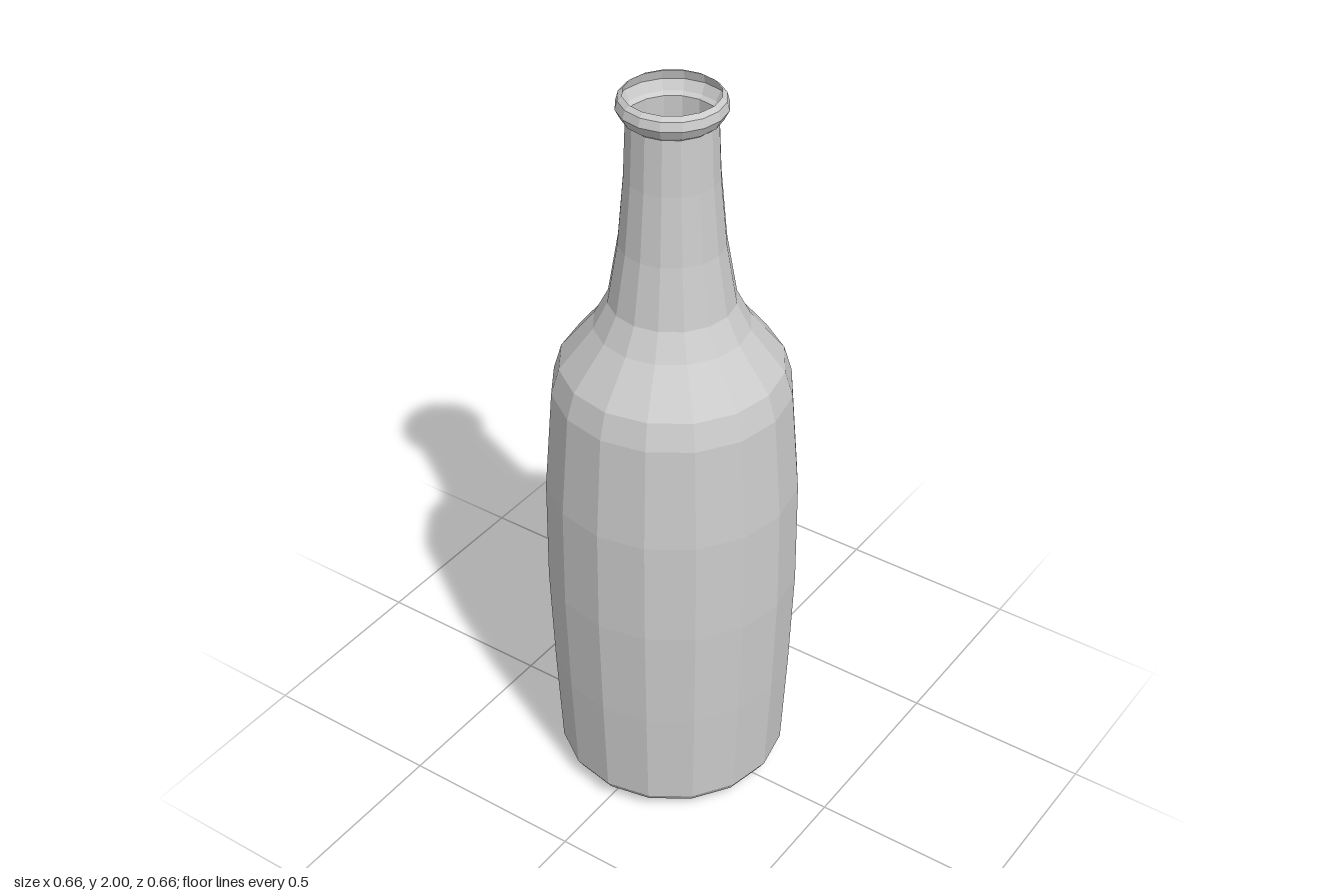
import * as THREE from 'three';

const SIDES = 16;

export function createModel() {
  const model = new THREE.Group();
  model.name = 'bottle';
  const material = new THREE.MeshStandardMaterial({
    color: 0xcccccc, flatShading: true, side: THREE.DoubleSide,
  });

  // Each part is a low-poly ring of facets turned from [radius, height] pairs
  const turn = (name, profile) => {
    const points = profile.map(([r, y]) => new THREE.Vector2(r, y));
    const mesh = new THREE.Mesh(new THREE.LatheGeometry(points, SIDES), material);
    mesh.name = name;
    model.add(mesh);
  };

  // Flat floor, closed at the centre, with a bevelled lower edge
  turn('base', [[0, 0], [0.24, 0], [0.29, 0.033], [0.304, 0.055]]);

  // Slightly bulging body
  turn('body', [[0.304, 0.055], [0.318, 0.34], [0.328, 0.63], [0.326, 0.92], [0.304, 1.2]]);

  // Sloping shoulder
  turn('shoulder', [[0.304, 1.2], [0.283, 1.27], [0.196, 1.38], [0.16, 1.45]]);

  // Tapering neck
  turn('neck', [[0.16, 1.45], [0.133, 1.61], [0.117, 1.79], [0.111, 1.935]]);

  // Rolled lip around the open mouth
  turn('lip', [[0.111, 1.935], [0.121, 1.943], [0.134, 1.968], [0.128, 1.99], [0.116, 2]]);

  return model;
}
